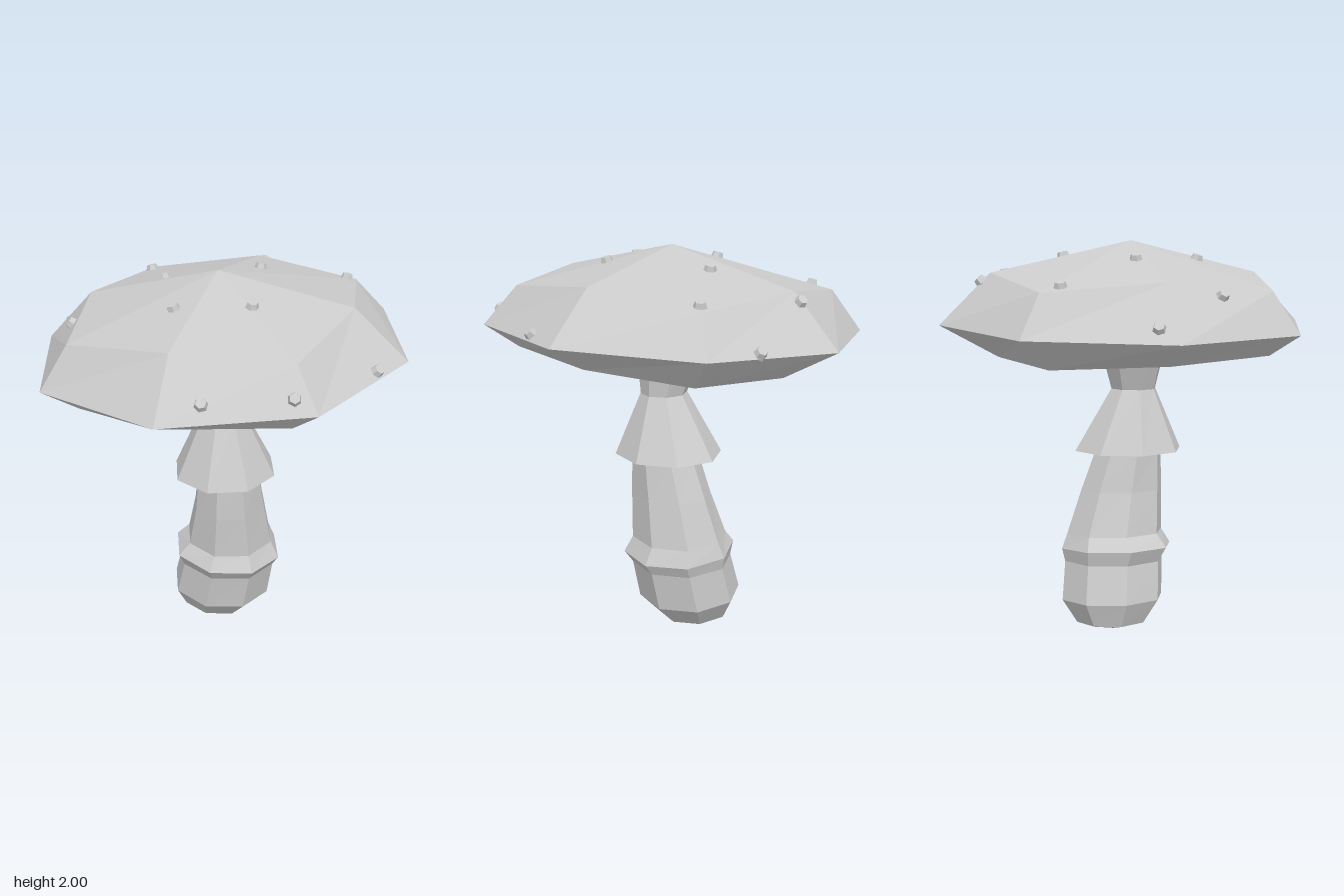
import * as THREE from 'three';

const SIDES = 8;
const material = new THREE.MeshStandardMaterial({ color: 0xcccccc, flatShading: true, side: THREE.DoubleSide });

// Eight-sided ring: extents in x and z, height, tilt along x and z.
// diag pushes the four diagonal corners out; lift adds a height per corner.
function ring(x0, x1, z0, z1, y, tiltX = 0, tiltZ = 0, diag = Math.SQRT1_2, lift = []) {
  const cx = (x0 + x1) / 2, cz = (z0 + z1) / 2;
  const points = [];
  for (let i = 0; i < SIDES; i++) {
    const a = (i / SIDES) * Math.PI * 2;
    const k = i % 2 ? diag * Math.SQRT2 : 1;
    const dx = Math.sin(a) * k * (x1 - x0) / 2;
    const dz = Math.cos(a) * k * (z1 - z0) / 2;
    points.push([cx + dx, y + dx * tiltX + dz * tiltZ + (lift[i] || 0), cz + dz]);
  }
  return points;
}

// A ring shrunk to one point closes the end of a loft.
const pole = (x, y, z) => Array.from({ length: SIDES }, () => [x, y, z]);

// Skin rings listed from bottom to top.
function loft(name, rings) {
  const index = [];
  for (let r = 0; r < rings.length - 1; r++) {
    for (let i = 0; i < SIDES; i++) {
      const j = (i + 1) % SIDES;
      const a = r * SIDES + i, b = r * SIDES + j, c = a + SIDES, d = b + SIDES;
      const isPole = (n) => rings[n][0].every((v, k) => v === rings[n][1][k]);
      if (!isPole(r)) index.push(a, b, d);
      if (!isPole(r + 1)) index.push(a, d, c);
    }
  }
  const indexed = new THREE.BufferGeometry();
  indexed.setAttribute('position', new THREE.Float32BufferAttribute(rings.flat(2), 3));
  indexed.setIndex(index);
  const geometry = indexed.toNonIndexed();
  geometry.computeVertexNormals();
  const mesh = new THREE.Mesh(geometry, material);
  mesh.name = name;
  return mesh;
}

export function createModel() {
  const model = new THREE.Group();
  model.name = 'mushroom';

  // Stem: bulbous foot with a ridge, leaning shaft, flared neck
  model.add(loft('stem', [
    pole(-0.07, 0, -0.08),
    ring(-0.245, 0.13, -0.27, 0.10, 0.045, -0.06),
    ring(-0.29, 0.235, -0.34, 0.195, 0.16, -0.07),
    ring(-0.24, 0.27, -0.315, 0.21, 0.355, -0.05),
    ring(-0.265, 0.305, -0.33, 0.255, 0.42, -0.08),
    ring(-0.20, 0.26, -0.30, 0.21, 0.495, -0.05),
    ring(-0.145, 0.23, -0.22, 0.215, 0.72, -0.02),
    ring(-0.12, 0.21, -0.14, 0.21, 0.93),
    ring(-0.095, 0.148, -0.06, 0.172, 1.24),
    ring(-0.19, 0.16, -0.14, 0.225, 1.50),
  ]));

  // Skirt: open flared collar
  model.add(loft('skirt', [
    ring(-0.24, 0.292, -0.255, 0.31, 0.928),
    ring(-0.097, 0.15, -0.062, 0.174, 1.245),
  ]));

  // Cap: underside, wide rim, shoulder and shallow peak
  const cap = loft('cap', [
    pole(0.01, 1.47, 0.03),
    ring(-0.65, 0.66, -0.65, 0.72, 1.45, 0.058, 0.04, 0.8),
    ring(-0.93, 0.93, -0.945, 0.945, 1.585, 0.059, 0, 0.72),
    ring(-0.69, 0.66, -0.69, 0.70, 1.84, 0.059, 0, 0.82,
      [0, -0.06, 0, -0.06, 0, -0.05, 0, -0.05]),
    pole(-0.01, 2, 0.03),
  ]);
  model.add(cap);

  // Warts: small hexagonal studs seated on the cap surface
  const warts = new THREE.Group();
  warts.name = 'warts';
  const wartGeometry = new THREE.CylinderGeometry(0.025, 0.036, 0.036, 6);
  const up = new THREE.Vector3(0, 1, 0);
  const ray = new THREE.Raycaster();
  cap.updateMatrixWorld();
  [
    [0, -0.73], [0.39, -0.77], [0.50, -0.52], [-0.54, -0.46], [0.11, -0.29],
    [-0.31, -0.03], [-0.84, -0.08], [-0.67, 0.28], [-0.12, 0.345], [0.23, 0.25],
    [0.82, 0.21], [0.555, 0.67], [0.175, 0.815],
  ].forEach(([x, z], i) => {
    ray.set(new THREE.Vector3(x, 3, z), new THREE.Vector3(0, -1, 0));
    const hit = ray.intersectObject(cap)[0];
    if (!hit) return;
    const wart = new THREE.Mesh(wartGeometry, material);
    wart.name = 'wart';
    wart.position.copy(hit.point).addScaledVector(hit.face.normal, 0.008);
    wart.quaternion.setFromUnitVectors(up, hit.face.normal);
    wart.rotateY(i * 0.7);
    warts.add(wart);
  });
  model.add(warts);

  return model;
}
